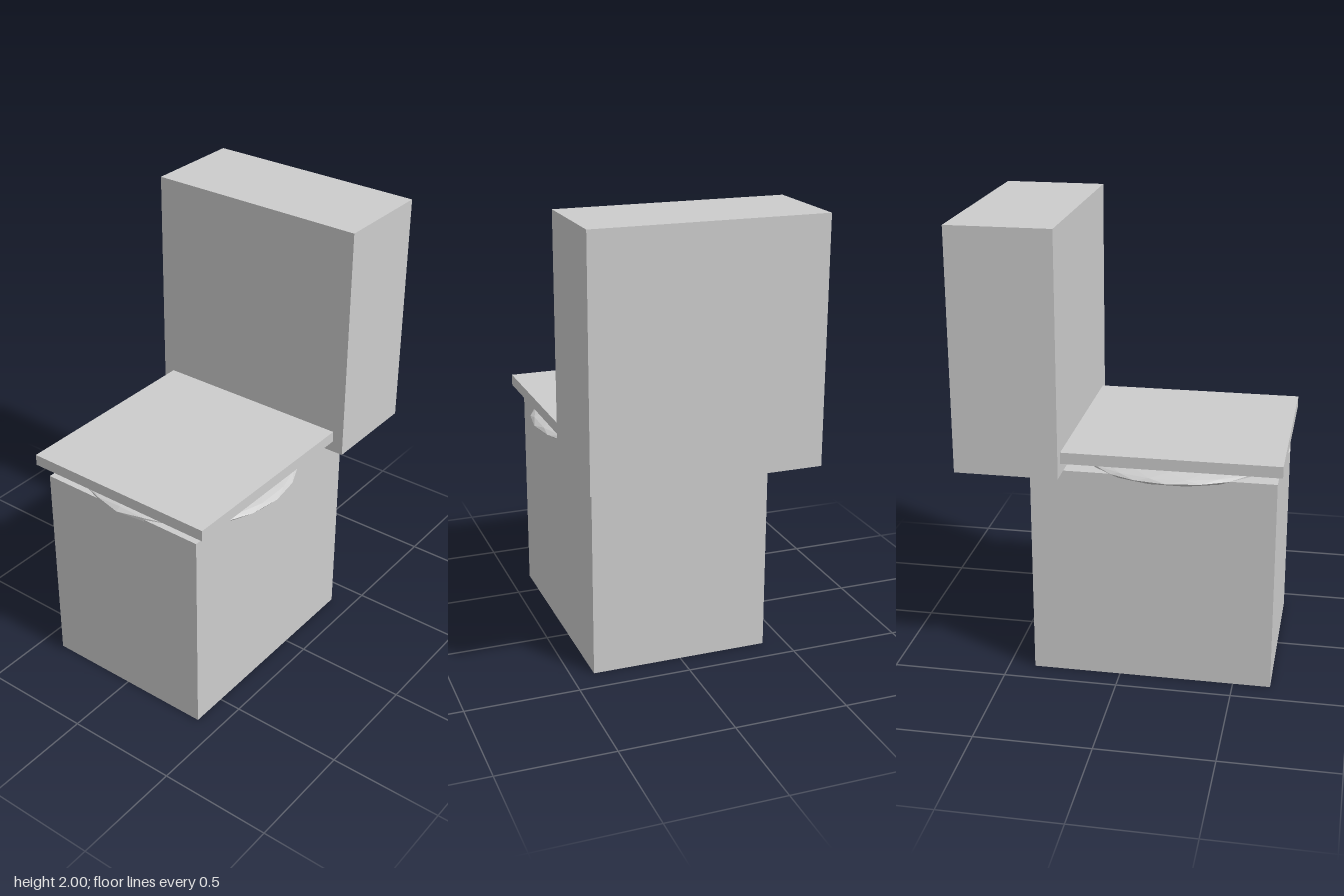
import * as THREE from 'three';

export function createModel() {
  const model = new THREE.Group();
  model.name = 'toilet';
  const grey = new THREE.MeshStandardMaterial({ color: 0xcccccc });
  grey.name = 'light grey';

  // Box given by its min and max corners
  function addBox(name, [x0, y0, z0], [x1, y1, z1]) {
    const mesh = new THREE.Mesh(new THREE.BoxGeometry(x1 - x0, y1 - y0, z1 - z0), grey);
    mesh.position.set((x0 + x1) / 2, (y0 + y1) / 2, (z0 + z1) / 2);
    mesh.name = name;
    model.add(mesh);
  }

  addBox('base', [-0.4, 0, -0.385], [0.4, 0.95, 0.663]);
  addBox('tank', [-0.5, 0.95, -0.687], [0.5, 2, -0.24]);
  addBox('lid', [-0.45, 1, -0.24], [0.45, 1.05, 0.687]);

  // Faceted, flattened bowl between the base and the lid
  const bowlShape = new THREE.IcosahedronGeometry(1, 3);
  bowlShape.scale(0.475, 0.05, 0.475);
  bowlShape.computeVertexNormals();
  const bowl = new THREE.Mesh(bowlShape, grey);
  bowl.position.set(0, 0.95, 0.212);
  bowl.name = 'bowl';
  model.add(bowl);

  return model;
}
